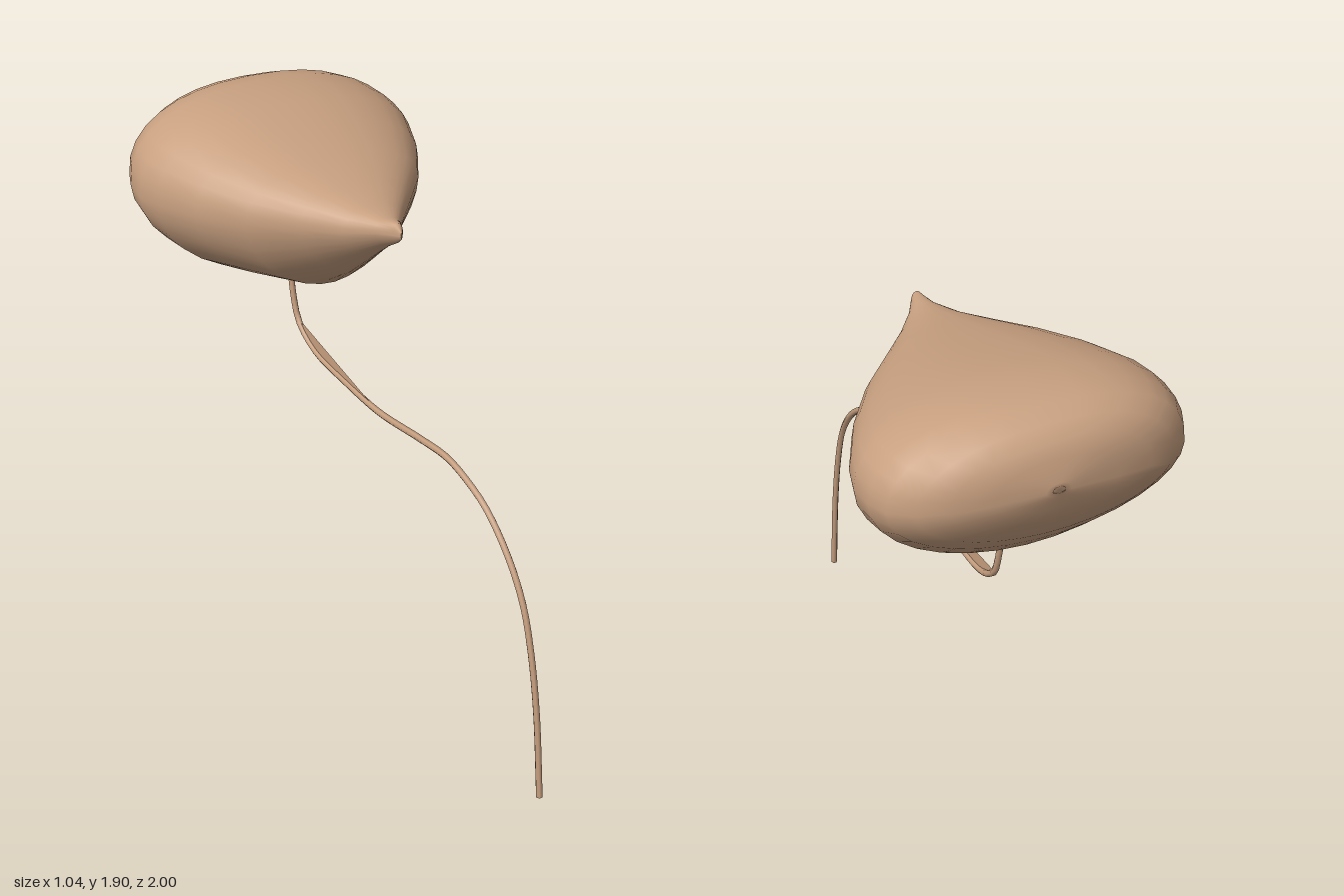
import * as THREE from 'three';

// Stations along z: [z, half width, top y, widest y, bottom y]
const STATIONS = [
  [0.12, 0.004, 1.715, 1.70, 1.69],
  [0.10, 0.018, 1.74, 1.70, 1.67],
  [0.04, 0.05, 1.733, 1.69, 1.63],
  [-0.05, 0.12, 1.743, 1.67, 1.555],
  [-0.16, 0.215, 1.77, 1.66, 1.46],
  [-0.30, 0.335, 1.807, 1.65, 1.342],
  [-0.46, 0.435, 1.85, 1.64, 1.31],
  [-0.61, 0.50, 1.885, 1.635, 1.28],
  [-0.70, 0.52, 1.896, 1.63, 1.308],
  [-0.79, 0.51, 1.902, 1.635, 1.34],
  [-0.86, 0.48, 1.892, 1.64, 1.41],
  [-0.92, 0.41, 1.868, 1.65, 1.475],
  [-0.96, 0.32, 1.835, 1.66, 1.55],
  [-0.985, 0.20, 1.785, 1.67, 1.61],
  [-1.0, 0.04, 1.71, 1.68, 1.665],
];
const SEGMENTS = 32;

// Rounded cross-sections joined into a skin, with a soft keel under the front
function balloonGeometry() {
  const positions = [];
  const index = [];
  STATIONS.forEach(([z, w, top, mid, bottom], i) => {
    const t = Math.min(1, i / 8);
    for (let j = 0; j < SEGMENTS; j++) {
      const a = (j / SEGMENTS) * Math.PI * 2;
      const c = Math.cos(a), s = Math.sin(a);
      const power = s > 0 ? 2.3 : 1.5 + 0.45 * t;
      const u = Math.sign(c) * Math.pow(Math.abs(c), 2 / power);
      const v = Math.pow(Math.abs(s), 2 / power);
      // the crown leans slightly to one side
      const y = s > 0 ? mid + (top - mid) * v * (1 - 0.08 * u) : mid - (mid - bottom) * v;
      positions.push(w * u, y, z);
    }
  });
  for (let i = 0; i < STATIONS.length - 1; i++) {
    for (let j = 0; j < SEGMENTS; j++) {
      const k = (j + 1) % SEGMENTS;
      const a = i * SEGMENTS + j, b = i * SEGMENTS + k;
      const c = a + SEGMENTS, d = b + SEGMENTS;
      index.push(a, b, c, b, d, c);
    }
  }
  // close both ends
  const capEnd = (ring, front) => {
    const [z, , top, , bottom] = STATIONS[ring];
    const centre = positions.length / 3;
    positions.push(0, (top + bottom) / 2, z);
    for (let j = 0; j < SEGMENTS; j++) {
      const a = ring * SEGMENTS + j, b = ring * SEGMENTS + ((j + 1) % SEGMENTS);
      index.push(centre, front ? a : b, front ? b : a);
    }
  };
  capEnd(0, true);
  capEnd(STATIONS.length - 1, false);
  const geometry = new THREE.BufferGeometry();
  geometry.setAttribute('position', new THREE.Float32BufferAttribute(positions, 3));
  geometry.setIndex(index);
  geometry.computeVertexNormals();
  return geometry;
}

export function createModel() {
  const model = new THREE.Group();
  model.name = 'balloonOnString';
  const tan = new THREE.MeshStandardMaterial({ color: 0xc8a080, side: THREE.DoubleSide });
  tan.name = 'tan';

  const add = (name, geometry) => {
    const mesh = new THREE.Mesh(geometry, tan);
    mesh.name = name;
    model.add(mesh);
  };

  add('balloon', balloonGeometry());

  // String: [z, y] points from the ground up to the balloon
  const path = [
    [0.988, 0], [0.95, 0.33], [0.905, 0.55], [0.85, 0.71], [0.76, 0.84], [0.63, 0.95],
    [0.5, 1.0], [0.4, 1.017], [0.25, 1.003], [-0.02, 0.968], [-0.25, 0.975],
    [-0.42, 0.99], [-0.5, 1.02], [-0.56, 1.07], [-0.592, 1.16], [-0.612, 1.3],
  ].map(([z, y]) => new THREE.Vector3(0, y, z));
  add('string', new THREE.TubeGeometry(new THREE.CatmullRomCurve3(path), 60, 0.012, 6));

  // Flat web filling the bend of the string
  const web = new THREE.Shape();
  web.moveTo(0.08, 0.978);
  web.lineTo(0.42, 0.99);
  web.lineTo(0.55, 1.06);
  web.lineTo(0.52, 1.066);
  web.closePath();
  add('stringWeb', new THREE.ShapeGeometry(web).rotateY(Math.PI / 2));

  return model;
}
